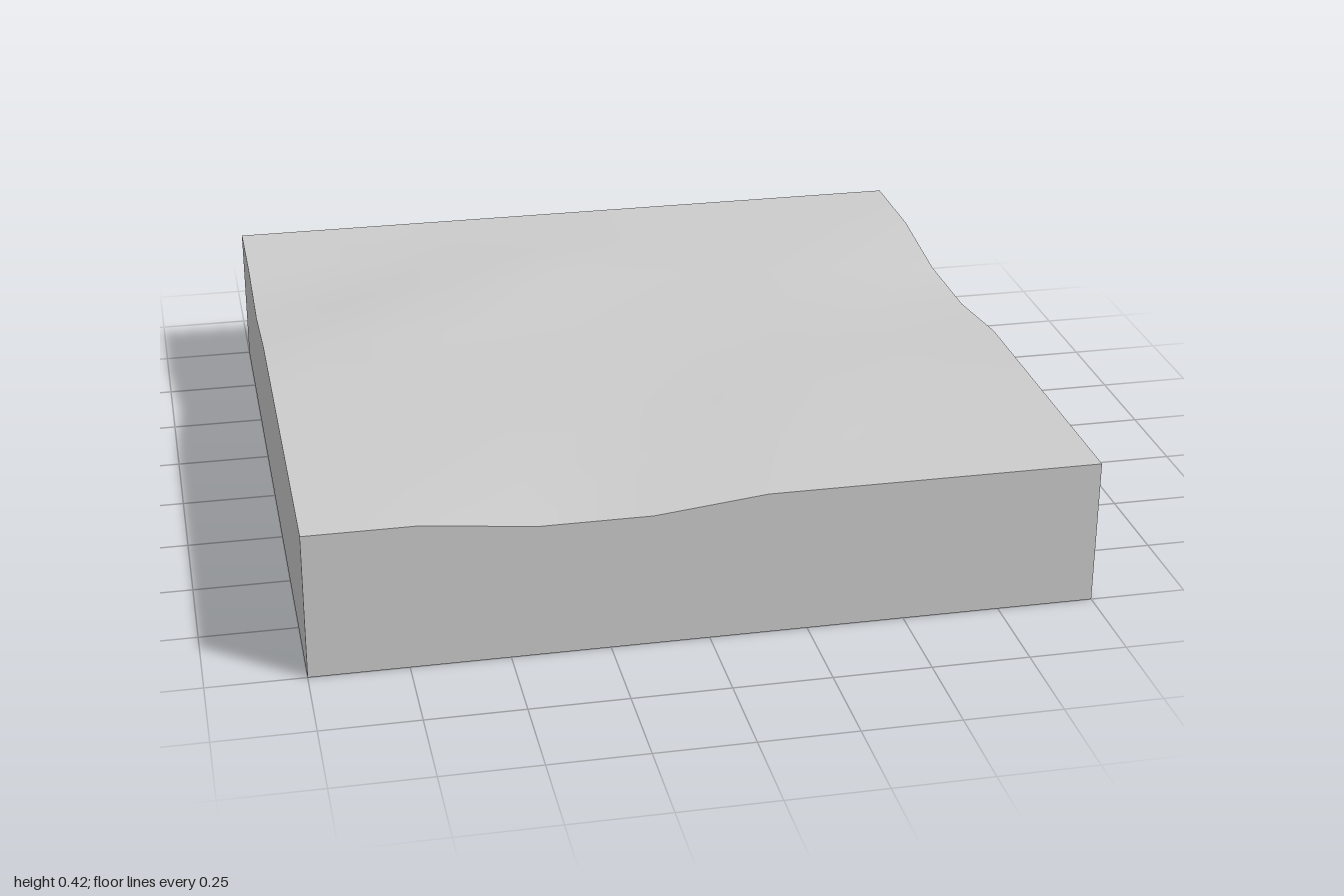
import * as THREE from 'three';

const SEGMENTS = 7;
const HEIGHT = 0.385;

// Raised and sunken grid points of the top: [column, row, offset]
const BUMPS = [
  // front edge hollow, fading inward
  [2, 7, -0.031], [3, 7, -0.031], [2, 6, -0.012], [3, 6, -0.01],
  // hollow in the left edge (+x)
  [7, 2, -0.037], [7, 3, -0.036], [6, 2, -0.012], [6, 3, -0.01],
  // hollow in the right edge (-x)
  [0, 2, -0.034],
  // main mound and low swells
  [2, 2, 0.033], [3, 2, 0.025], [4, 6, 0.012], [5, 5, 0.011],
];

export function createModel() {
  const group = new THREE.Group();
  group.name = 'groundTile';

  // Square slab whose top is a grid of gently uneven points
  const geometry = new THREE.BoxGeometry(2, HEIGHT, 2, SEGMENTS, 1, SEGMENTS);
  geometry.translate(0, HEIGHT / 2, 0);
  const offsets = new Map(BUMPS.map(([c, r, dy]) => [`${c},${r}`, dy]));
  const position = geometry.attributes.position;
  for (let i = 0; i < position.count; i++) {
    if (position.getY(i) < HEIGHT / 2) continue;
    const column = Math.round((position.getX(i) + 1) / 2 * SEGMENTS);
    const row = Math.round((position.getZ(i) + 1) / 2 * SEGMENTS);
    position.setY(i, HEIGHT + (offsets.get(`${column},${row}`) ?? 0));
  }
  // Each box side has its own vertices, so the rim stays sharp
  geometry.computeVertexNormals();

  const slab = new THREE.Mesh(geometry, new THREE.MeshStandardMaterial({ color: 0xcccccc }));
  slab.name = 'unevenSlab';
  group.add(slab);
  return group;
}
